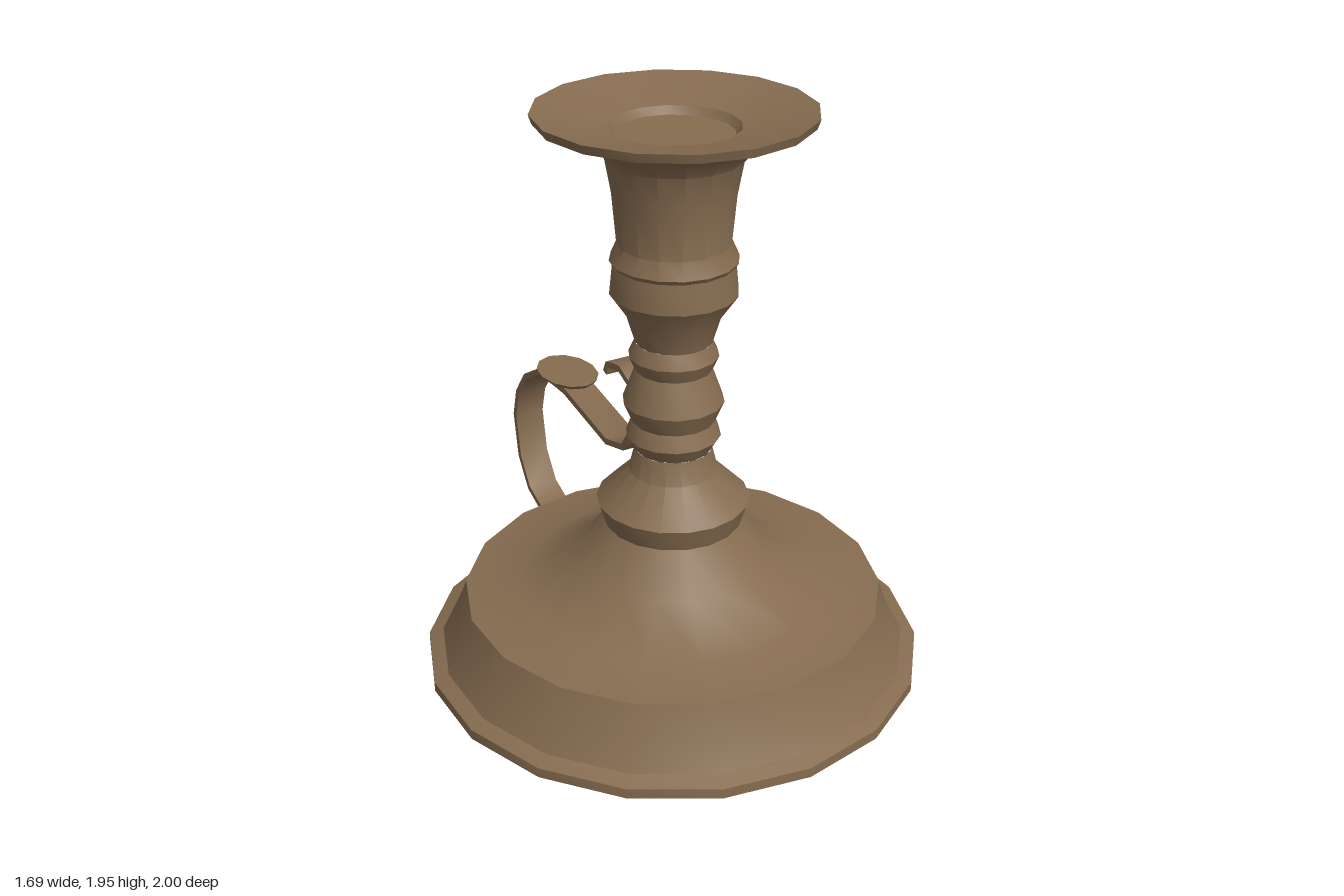
import * as THREE from 'three';
import { toCreasedNormals } from 'three/addons/utils/BufferGeometryUtils.js';

const BODY_Z = 0.14;

export function createModel() {
  const model = new THREE.Group();
  const brass = new THREE.MeshStandardMaterial({ color: 0x866c50 });
  brass.name = 'aged brass';

  const add = (name, geometry, crease = 0.6) => {
    const mesh = new THREE.Mesh(toCreasedNormals(geometry, crease), brass);
    mesh.name = name;
    model.add(mesh);
    return mesh;
  };
  const turned = (name, profile, sides) => {
    const points = profile.map(([r, y]) => new THREE.Vector2(r, y));
    add(name, new THREE.LatheGeometry(points, sides)).position.z = BODY_Z;
  };

  // Wide drip base, closed underneath, rising to the collar
  turned('base', [
    [0, 0], [0.86, 0], [0.86, 0.035], [0.81, 0.055], [0.755, 0.15], [0.72, 0.255],
    [0.53, 0.275], [0.33, 0.38], [0.235, 0.52], [0.26, 0.6], [0.15, 0.71], [0.13, 0.79],
  ], 18);

  // Knopped stem
  turned('stem', [
    [0.13, 0.79], [0.16, 0.84], [0.14, 0.895], [0.17, 0.965], [0.128, 1.08],
    [0.15, 1.13], [0.128, 1.18],
  ], 14);

  // Candle cup with flared pan and shallow socket
  turned('candleCup', [
    [0.128, 1.18], [0.155, 1.27], [0.21, 1.35], [0.2, 1.45], [0.21, 1.465], [0.185, 1.52],
    [0.2, 1.69], [0.22, 1.8], [0.27, 1.86], [0.44, 1.92], [0.45, 1.95],
    [0.43, 1.945], [0.21, 1.9], [0.19, 1.875], [0, 1.875],
  ], 16);

  // Scrolled strap handle: a centre line [z, y] thickened and extruded across x
  const path = [
    [-0.23, 0.92], [-0.215, 0.955], [-0.18, 0.965], [-0.13, 0.975], [-0.06, 0.945],
    [-0.027, 0.86], [-0.045, 0.77], [-0.11, 0.68], [-0.23, 0.648], [-0.55, 0.71],
    [-0.75, 0.708], [-0.88, 0.63], [-0.955, 0.53], [-0.985, 0.42], [-0.955, 0.25],
    [-0.88, 0.14], [-0.78, 0.098], [-0.69, 0.1], [-0.645, 0.155],
  ].map(([z, y]) => new THREE.Vector2(-z, y));
  const offset = (d) => path.map((p, i) => {
    const a = path[Math.max(i - 1, 0)], b = path[Math.min(i + 1, path.length - 1)];
    const t = b.clone().sub(a).normalize();
    return new THREE.Vector2(p.x - t.y * d, p.y + t.x * d);
  });
  const strap = new THREE.Shape([...offset(0.012), ...offset(-0.012).reverse()]);
  const strapGeometry = new THREE.ExtrudeGeometry(strap, { depth: 0.116, bevelEnabled: false });
  strapGeometry.translate(0, 0, -0.058).rotateY(Math.PI / 2);
  add('handleStrap', strapGeometry, 0.8);

  // Oval thumb rest on top of the handle
  const rest = new THREE.CylinderGeometry(1, 0.9, 0.016, 12);
  rest.scale(0.105, 1, 0.15).translate(0, 0.738, -0.63);
  add('thumbRest', rest);

  return model;
}
